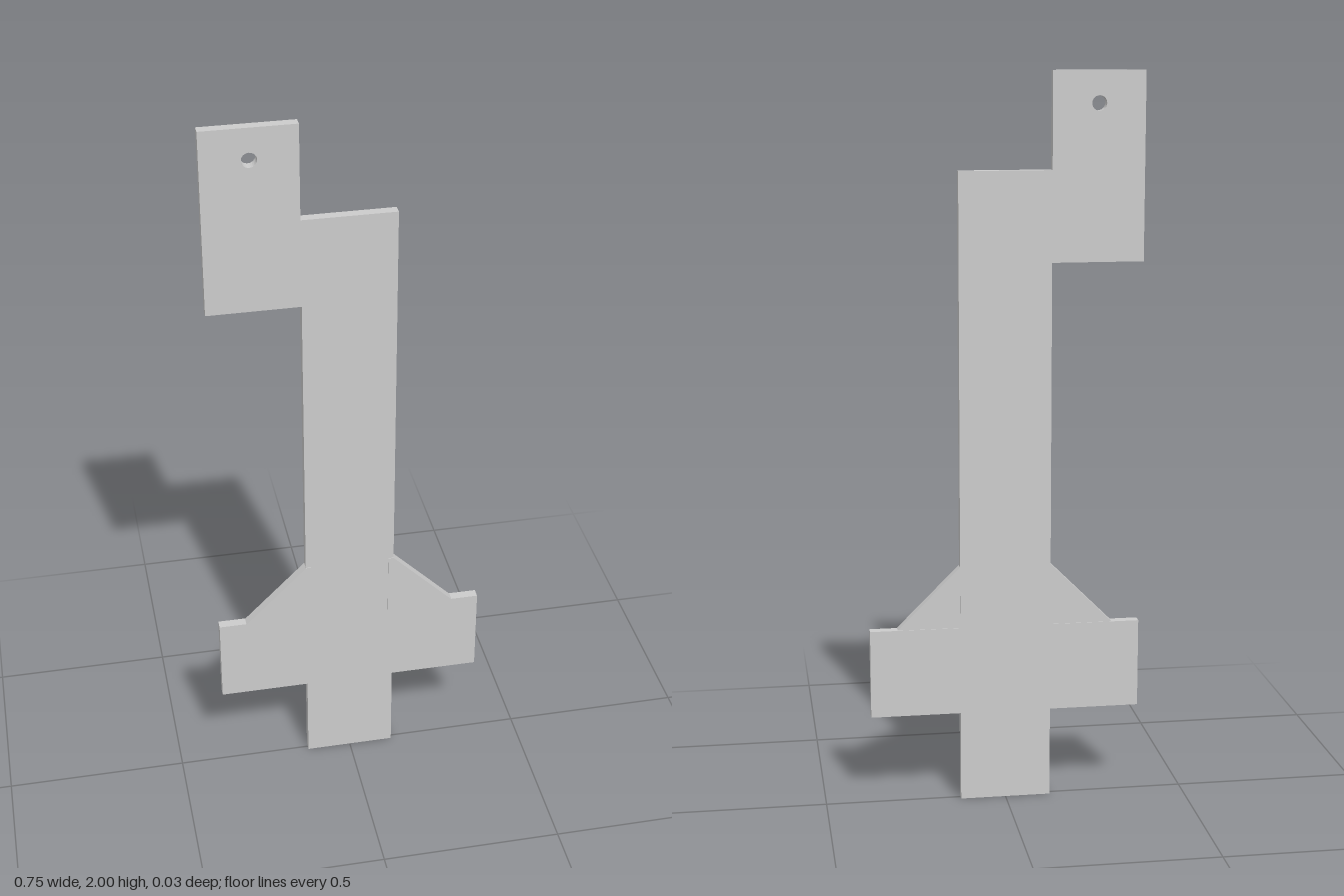
import * as THREE from 'three';

const THICK = 0.027;
const material = new THREE.MeshStandardMaterial({ color: 0xcccccc, flatShading: true });

// Flat outline extruded along z and centred on the given depth
function plate(name, points, z, holes = []) {
  const shape = new THREE.Shape(points.map(([x, y]) => new THREE.Vector2(x, y)));
  shape.holes.push(...holes);
  const geometry = new THREE.ExtrudeGeometry(shape, { depth: THICK, bevelEnabled: false, curveSegments: 12 });
  geometry.translate(0, 0, z - THICK / 2);
  const mesh = new THREE.Mesh(geometry, material);
  mesh.name = name;
  return mesh;
}

export function createModel() {
  const group = new THREE.Group();
  group.name = 'flatBracket';

  // Stem with crossbar near the foot and an offset hanging tab at the top
  const hole = new THREE.Path();
  hole.absarc(-0.249, 1.915, 0.02, 0, Math.PI * 2, true);
  const outline = [
    [-0.125, 0], [0.125, 0], [0.125, 0.252], [0.373, 0.252], [0.373, 0.498],
    [0.125, 0.498], [0.125, 1.742], [-0.125, 1.742], [-0.125, 2], [-0.373, 2],
    [-0.373, 1.498], [-0.125, 1.498], [-0.125, 0.498], [-0.373, 0.498],
    [-0.373, 0.252], [-0.125, 0.252],
  ];
  group.add(plate('mainPlate', outline, -0.001, [hole]));

  // Triangular gussets in the corners between stem and crossbar, a hair forward
  for (const [name, s] of [['leftGusset', 1], ['rightGusset', -1]]) {
    const corner = [[0.11, 0.488], [0.297, 0.488], [0.297, 0.498], [0.125, 0.67], [0.11, 0.67]];
    group.add(plate(name, corner.map(([x, y]) => [s * x, y]), 0.001));
  }
  return group;
}
